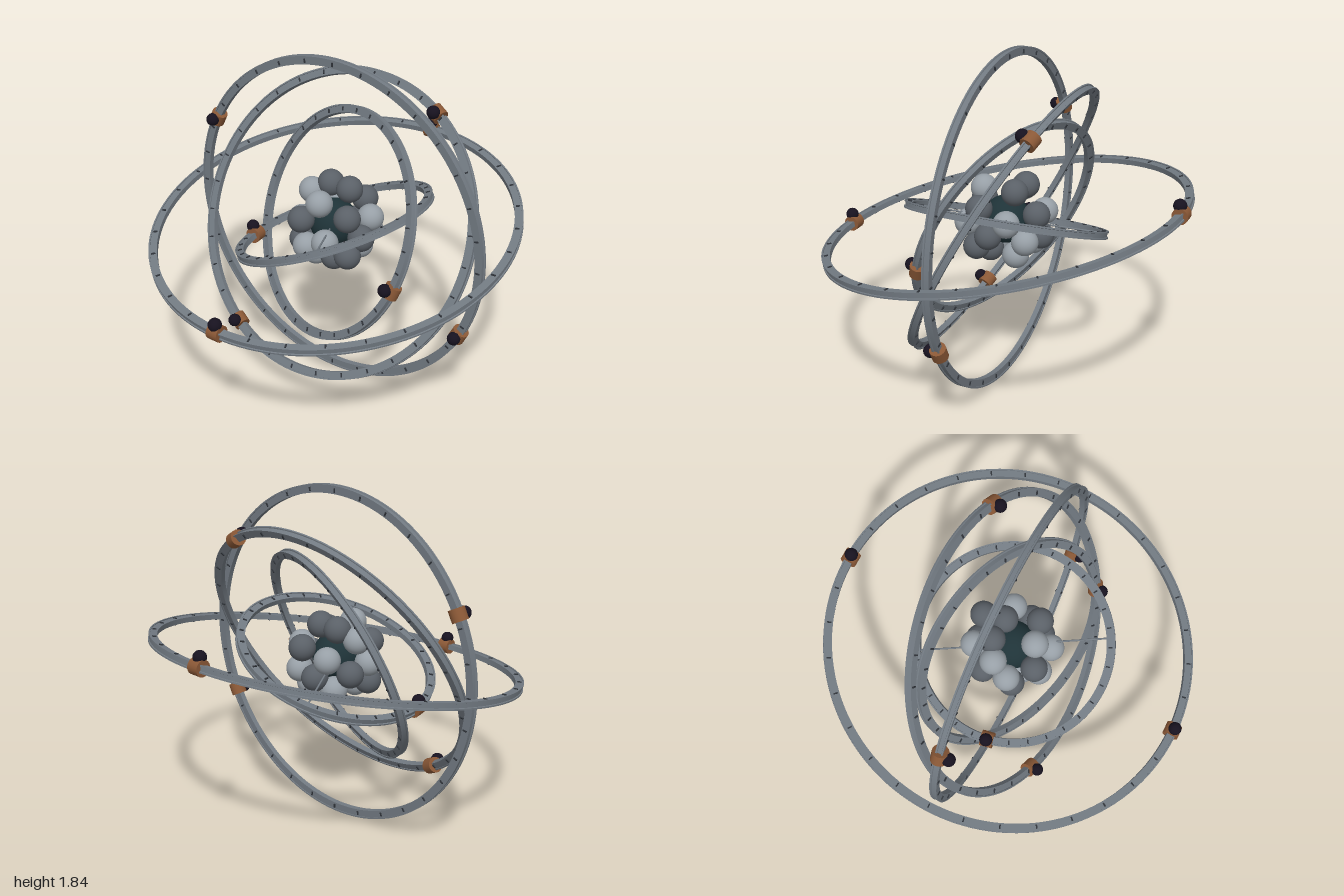
import * as THREE from 'three';
import { toCreasedNormals } from 'three/addons/utils/BufferGeometryUtils.js';

const mat = (color) => new THREE.MeshStandardMaterial({ color });
const steel = mat(0x727a82), darkSteel = mat(0x30343a), copper = mat(0x8a5836);
const bead = mat(0x17121f), lightBall = mat(0x979fa6), darkBall = mat(0x5a6067), coreMat = mat(0x1f3338);
const UP = new THREE.Vector3(0, 1, 0);

function add(parent, name, geometry, material, x = 0, y = 0, z = 0) {
  const mesh = new THREE.Mesh(geometry, material);
  mesh.name = name;
  mesh.position.set(x, y, z);
  parent.add(mesh);
  return mesh;
}

// Flat band with a raised rail along both outer edges
function bandGeometry(R) {
  const profile = [
    [-0.045, -0.015], [-0.008, -0.015], [-0.008, -0.02], [0, -0.02], [0, -0.012], [-0.006, -0.01],
    [-0.006, 0.01], [0, 0.012], [0, 0.02], [-0.008, 0.02], [-0.008, 0.015], [-0.045, 0.015], [-0.045, -0.015],
  ].map(([r, y]) => new THREE.Vector2(R + r, y));
  return toCreasedNormals(new THREE.LatheGeometry(profile, 128), 0.6);
}

// Orbit ring around the given normal, with sleeves and beads towards the given directions
function orbit(name, R, normal, directions) {
  const ring = new THREE.Group();
  ring.name = name;
  ring.quaternion.setFromUnitVectors(UP, new THREE.Vector3(...normal).normalize());
  add(ring, 'band', bandGeometry(R), steel);

  // Tick marks, standing out of both faces
  const tick = new THREE.BoxGeometry(0.022, 0.042, 0.007);
  for (let i = 0; i < 32; i++) {
    const a = (i / 32) * Math.PI * 2, r = R - 0.025;
    add(ring, 'tickMark', tick, darkSteel, r * Math.cos(a), 0, -r * Math.sin(a)).rotation.y = a;
  }

  // Copper sleeve around the band, carrying a dark bead
  const inverse = ring.quaternion.clone().invert();
  for (const d of directions) {
    const v = new THREE.Vector3(...d).applyQuaternion(inverse);
    const carrier = new THREE.Group();
    carrier.name = 'beadCarrier';
    carrier.rotation.y = Math.atan2(-v.z, v.x);
    ring.add(carrier);
    const r = R - 0.024;
    add(carrier, 'sleeve', new THREE.CylinderGeometry(0.043, 0.043, 0.066, 20), copper, r).rotation.x = Math.PI / 2;
    add(carrier, 'bead', new THREE.SphereGeometry(0.035, 24, 16), bead, r, 0.048, 0);
  }
  return ring;
}

// Thin rod between two points
function rod(parent, name, from, to, radius) {
  const dir = to.clone().sub(from);
  const mid = from.clone().add(to).multiplyScalar(0.5);
  const mesh = add(parent, name, new THREE.CylinderGeometry(radius, radius, dir.length(), 10), steel, mid.x, mid.y, mid.z);
  mesh.quaternion.setFromUnitVectors(UP, dir.normalize());
}

export function createModel() {
  const model = new THREE.Group();
  model.name = 'atomModel';
  const atom = new THREE.Group();
  atom.name = 'atom';
  atom.position.y = 0.93;
  model.add(atom);

  const deg = Math.PI / 180;
  const s = (a) => Math.sin(a * deg), c = (a) => Math.cos(a * deg);
  atom.add(
    orbit('uprightRing', 0.918, [0, 0, 1], [[-0.79, 0.4, 0], [0.79, -0.4, 0]]),
    orbit('leaningRing', 0.84, [0, s(27), c(27)], [[0.42, 0.62, -0.32], [-0.42, -0.62, 0.32]]),
    orbit('wideRing', 1.0, [0, c(11.5), s(11.5)], [[0, -0.2, 0.95], [0, 0.2, -0.95]]),
    orbit('skewRing', 0.63, [-0.32, 0.366, 0.87], [[0.54, -0.11, 0.26]]),
    orbit('innerRing', 0.55, [-s(22), c(22), 0], [[-0.48, -0.19, 0.085]]),
  );

  // Two spokes from the core to the inner ring
  for (const k of [1, -1]) {
    const end = new THREE.Vector3(0.226 * k, 0.091 * k, 0.46 * k);
    rod(atom, 'spoke', end.clone().multiplyScalar(0.15), end, 0.005);
  }

  // Nucleus: packed balls around a dark core, last value 1 for light
  const nucleus = new THREE.Group();
  nucleus.name = 'nucleus';
  atom.add(nucleus);
  add(nucleus, 'core', new THREE.SphereGeometry(0.13, 24, 16), coreMat);
  const balls = [
    [0, 0.16, 0.13, 1], [-0.08, 0.18, -0.08, 0], [0.05, 0.18, -0.07, 0], [-0.17, 0.13, -0.03, 1],
    [0.15, 0.1, 0.09, 0], [-0.09, 0.06, 0.17, 0], [0.18, 0.05, -0.08, 1], [0.06, 0.08, -0.2, 0],
    [-0.1, 0.04, -0.18, 1], [-0.18, -0.01, 0.05, 1], [0.08, -0.02, 0.19, 1], [0.19, -0.03, 0.02, 0],
    [-0.18, -0.04, -0.09, 0], [0.12, -0.06, -0.16, 1], [-0.02, -0.07, -0.19, 0], [-0.05, -0.08, 0.18, 1],
    [0.16, -0.11, 0.1, 0], [-0.16, -0.12, 0.07, 0], [-0.09, -0.14, -0.12, 1], [0.1, -0.15, -0.1, 1],
    [-0.06, -0.16, 0.08, 1], [0.05, -0.16, 0.07, 0],
  ];
  const ball = new THREE.SphereGeometry(0.072, 32, 20);
  for (const [x, y, z, light] of balls) {
    add(nucleus, light ? 'lightBall' : 'darkBall', ball, light ? lightBall : darkBall, x, y, z);
  }
  return model;
}
